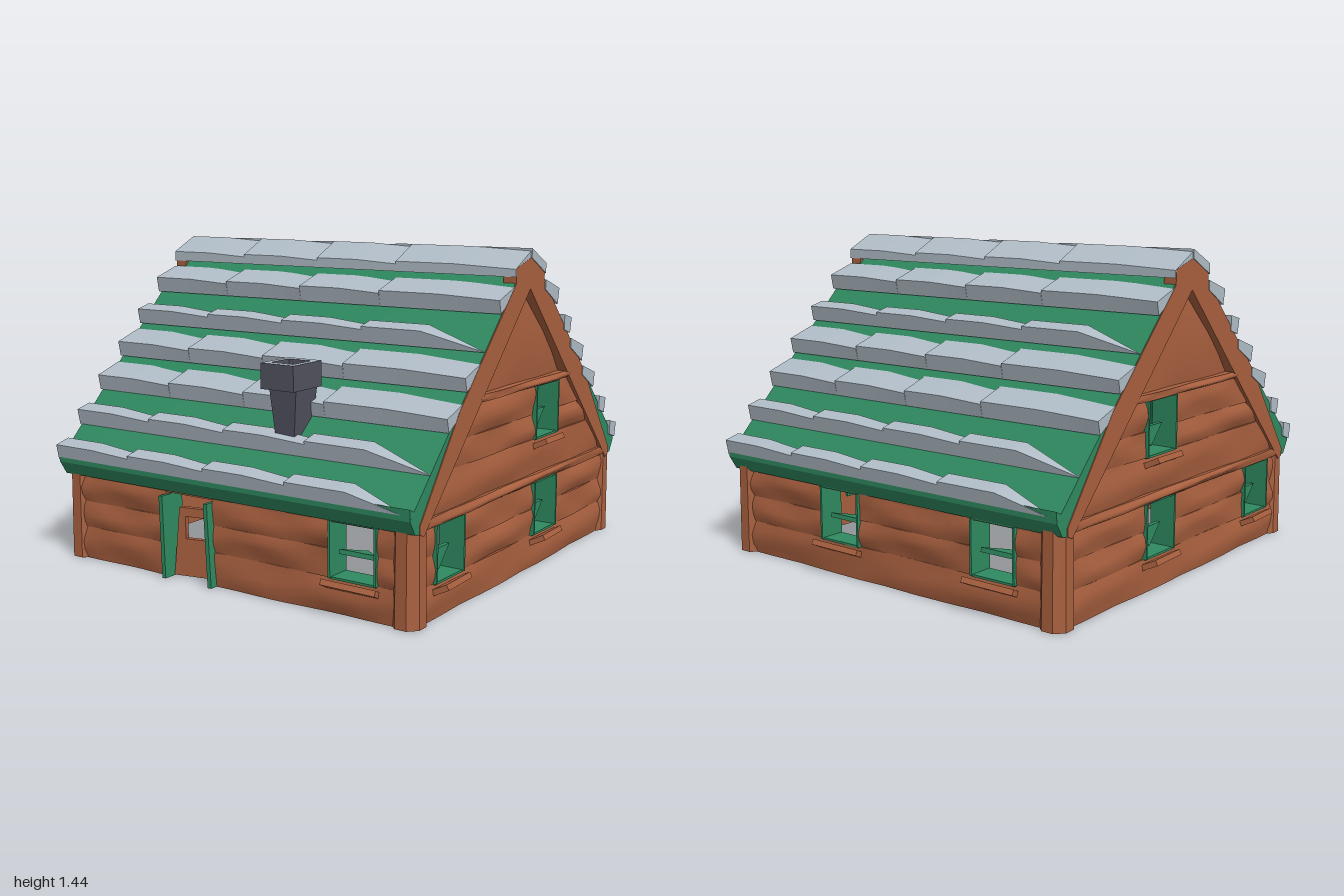
import * as THREE from 'three';

const mat = (color) => new THREE.MeshStandardMaterial({ color });
const lerp = THREE.MathUtils.lerp;
const vecs = (pts) => pts.map(([x, y]) => new THREE.Vector2(x, y));

export function createModel() {
  const house = new THREE.Group();
  house.name = 'cabin';
  const wood = mat(0xa9603f), green = mat(0x2f8a60), slate = mat(0xb0bcc6), stone = mat(0x52525f);

  const add = (parent, name, geo, m, x = 0, y = 0, z = 0) => {
    const mesh = new THREE.Mesh(geo, m);
    mesh.name = name;
    mesh.position.set(x, y, z);
    parent.add(mesh);
    return mesh;
  };
  const box = (parent, name, m, w, h, d, x, y, z) =>
    add(parent, name, new THREE.BoxGeometry(w, h, d), m, x, y, z);

  // Unit box whose points (s, v, w in 0..1) are moved by a rule
  const warpBox = (sx, sy, rule) => {
    const g = new THREE.BoxGeometry(1, 1, 1, sx, sy, 1);
    const p = g.attributes.position;
    for (let i = 0; i < p.count; i++) {
      p.setXYZ(i, ...rule(p.getX(i) + 0.5, p.getY(i) + 0.5, p.getZ(i) + 0.5));
    }
    g.computeVertexNormals();
    return g;
  };

  // ---- Walls: warped boards laid in courses, split around the openings ----
  const T = 0.09;
  const board = (parent, bottom, top, y0, y1, out = 0) => {
    add(parent, 'wallBoard', warpBox(10, 4, (s, v, w) => {
      const u = lerp(lerp(bottom[0], bottom[1], s), lerp(top[0], top[1], s), v);
      const wave = 0.008 * Math.sin(u * 8 + y0 * 23) * Math.sin(v * 5 + u * 4);
      const bulge = w > 0.5 ? 0.01 * Math.sin(Math.PI * v) + wave : 0;
      return [u, lerp(y0, y1, v), (w - 1) * T + bulge + out];
    }), wood);
  };
  const course = (parent, y0, y1, half0, half1, openings) => {
    let u = -half0, ut = -half1;
    for (const o of openings.filter((q) => q.y0 < y1 - 0.01 && q.y1 > y0 + 0.01)) {
      board(parent, [u, o.u0], [ut, o.u0], y0, y1);
      u = ut = o.u1;
    }
    board(parent, [u, half0], [ut, half1], y0, y1);
  };

  const windowUnit = (parent, o, tilt) => {
    const g = new THREE.Group();
    g.name = 'window';
    const w = o.u1 - o.u0, h = o.y1 - o.y0;
    g.position.set((o.u0 + o.u1) / 2, (o.y0 + o.y1) / 2, 0);
    for (const s of [-1, 1]) {
      box(g, 'frameSide', green, 0.01, h, T + 0.03, s * w / 2, 0, -T / 2 + 0.003);
      box(g, 'frameRail', green, w, 0.01, T + 0.02, 0, s * h / 2, -T / 2);
    }
    // Sill tips up and swings out at one end
    const sill = box(g, 'sill', wood, 0.245, 0.025, 0.075, 0, -h / 2 - 0.025, 0.022);
    sill.rotation.set(-0.45, 0.13, 0);
    const tri = new THREE.Shape(vecs([[-0.085, 0.04], [0, -0.05], [0.085, 0.04]]));
    const bar = add(g, 'crossbar', new THREE.ExtrudeGeometry(tri, { depth: 0.02, bevelEnabled: false }), green,
      0, tilt ? -0.01 : -0.045, -0.06);
    bar.rotation.x = tilt;
    parent.add(g);
  };

  const wall = (name, angle, out, half, windows, extra = []) => {
    const g = new THREE.Group();
    g.name = name;
    g.rotation.y = angle;
    g.position.set(Math.sin(angle) * out, 0, Math.cos(angle) * out);
    const openings = [...windows, ...extra].sort((a, b) => a.u0 - b.u0);
    for (const [a, b] of [[0, 0.15], [0.15, 0.27], [0.27, 0.39]]) course(g, a, b, half, half, openings);
    windows.forEach((o) => windowUnit(g, o, Math.abs(Math.sin(angle)) > 0.5 ? 0 : 1.4));
    house.add(g);
    return g;
  };
  const win = (u0, y0 = 0.15) => ({ u0, u1: u0 + 0.22, y0, y1: y0 + 0.24 });

  const door = { u0: -0.34, u1: -0.075, y0: 0, y1: 0.39 };
  const front = wall('frontWall', 0, 0.915, 0.885, [win(0.54)], [door]);
  const back = wall('backWall', Math.PI, 0.92, 0.885, [win(-0.37), win(0.49)]);
  for (const g of [front, back]) box(g, 'topBeam', wood, 1.8, 0.05, T, 0, 0.405, -T / 2);

  // Gable ends narrow with the roof slope
  const halfAt = (y) => (1.27 - y) / 1.03;
  for (const s of [1, -1]) {
    const u = s > 0 ? [-0.76, 0.10] : [0.54, -0.32];
    const upper = win(u[1], 0.59);
    const g = wall('gableWall', s * Math.PI / 2, 0.925, 0.885, [win(u[0]), win(u[1])]);
    for (const [a, b] of [[0.43, 0.59], [0.59, 0.70], [0.70, 0.83]]) course(g, a, b, halfAt(a), halfAt(b), [upper]);
    windowUnit(g, upper, 0);
    for (const [a, b] of [[0.39, 0.43], [0.83, 0.86]]) {
      board(g, [-halfAt(a) - 0.01, halfAt(a) + 0.01], [-halfAt(b) - 0.01, halfAt(b) + 0.01], a, b, 0.012);
    }
    board(g, [-halfAt(0.86), halfAt(0.86)], [-0.005, 0.005], 0.86, 1.27, -0.02);
  }

  // Chamfered corner posts
  for (const x of [-1, 1]) for (const z of [-1, 1]) {
    const post = new THREE.CylinderGeometry(0.066, 0.07, 0.42, 8).toNonIndexed();
    post.rotateY(Math.PI / 8);
    post.computeVertexNormals();
    add(house, 'cornerPost', post, wood, x * 0.88, 0.21, z > 0 ? 0.87 : -0.88);
  }
  box(house, 'ceiling', wood, 1.72, 0.025, 1.72, 0, 0.41, 0);

  // ---- Door ----
  for (const s of [-1, 1]) {
    const jamb = box(front, 'doorJamb', green, 0.02, 0.37, T + 0.04, -0.207 + s * 0.128, 0.185, -0.025);
    jamb.rotation.z = s > 0 ? 0.05 : 0.03;
  }
  const panel = new THREE.Shape(vecs([[0, 0], [0.22, 0], [0.19, 0.31], [0.03, 0.31]]));
  panel.holes.push(new THREE.Path(vecs([[0.06, 0.17], [0.06, 0.27], [0.16, 0.27], [0.16, 0.17]])));
  const leaf = add(front, 'doorLeaf', new THREE.ExtrudeGeometry(panel, { depth: 0.025, bevelEnabled: false }), wood, -0.325, 0.003, -0.045);
  leaf.rotation.y = 0.2;

  // ---- Roof: one slope, repeated at half a turn ----
  const edges = [-0.95, -0.51, -0.08, 0.35, 0.945];
  const wideRows = [0, 1, 3, 4];
  for (const turn of [0, Math.PI]) {
    const slope = new THREE.Group();
    slope.name = 'roofSlope';
    slope.rotation.y = turn;
    house.add(slope);

    // Profile in (z, y), swept along x
    const sweep = (name, pts, x0, x1, m) => {
      const geo = new THREE.ExtrudeGeometry(new THREE.Shape(vecs(pts.map(([z, y]) => [-z, y]))),
        { depth: x1 - x0, bevelEnabled: false });
      geo.rotateY(Math.PI / 2);
      add(slope, name, geo, m, x0);
    };
    sweep('roofSlab', [[0, 1.405], [0.03, 1.405], [0.94, 0.485], [0.97, 0.5], [0.967, 0.45], [0.93, 0.39], [0.865, 0.38], [0, 1.27]], -0.942, 0.942, green);
    // Barge boards thin out towards the eaves
    for (const x of [-0.946, 0.886]) {
      sweep('bargeBoard', [[0, 1.4], [0.135, 1.36], [0.135, 1.295], [0.6, 0.825], [0.9, 0.42], [0.9, 0.385], [0.87, 0.372], [0, 1.266]], x, x + 0.06, wood);
    }

    // Tile rows; narrow rows taper to a point at the far end
    for (let r = 0; r < 7; r++) {
      const wide = wideRows.includes(r);
      const z = 0.14 + 0.14 * r, y = r ? 1.394 - 0.144 * r : 1.37;
      const depth = wide ? 0.14 : 0.075;
      const tip = [z, y], lip = [r ? z - 0.014 : z, y - (r ? 0.07 : 0.045)];
      const crest = [z - depth, y + (r ? (wide ? 0.048 : 0.02) : 0.07)];
      const root = [z - depth, y + (r ? (wide ? 0.005 : -0.05) : 0.03)];
      for (let i = 0; i < 4; i++) {
        const fade = wide ? 0 : i === 3 ? 0.97 : 0.2;
        add(slope, 'roofTile', warpBox(8, 2, (s, v, w) => {
          const k = Math.max(0, (s - 0.5) / 0.5);
          const at = (c) => lerp(
            lerp(lerp(root[c], crest[c], v), lerp(lip[c], tip[c], v), w), lip[c], fade * k);
          return [lerp(edges[i], edges[i + 1], s), at(1) - (wide ? k * v * 0.012 : 0), at(0)];
        }), slate);
      }
    }
  }

  // ---- Chimney ----
  const chimney = new THREE.Group();
  chimney.name = 'chimney';
  chimney.position.set(0.213, 0, 0.737);
  house.add(chimney);
  add(chimney, 'shaft', warpBox(1, 1, (s, v, w) => [
    (s - 0.5) * lerp(0.08, 0.14, v) + 0.01, lerp(0.58, 0.88, v), (w - 0.5) * lerp(0.11, 0.15, v),
  ]), stone);
  const rect = (C, a, b) => new C(vecs([[-a, -b], [a, -b], [a, b], [-a, b]]));
  const ring = rect(THREE.Shape, 0.085, 0.1);
  ring.holes.push(rect(THREE.Path, 0.057, 0.062));
  const cap = new THREE.ExtrudeGeometry(ring, { depth: 0.11, bevelEnabled: false });
  cap.rotateX(-Math.PI / 2);
  add(chimney, 'cap', cap, [slate, stone], 0, 0.87, 0);

  return house;
}
